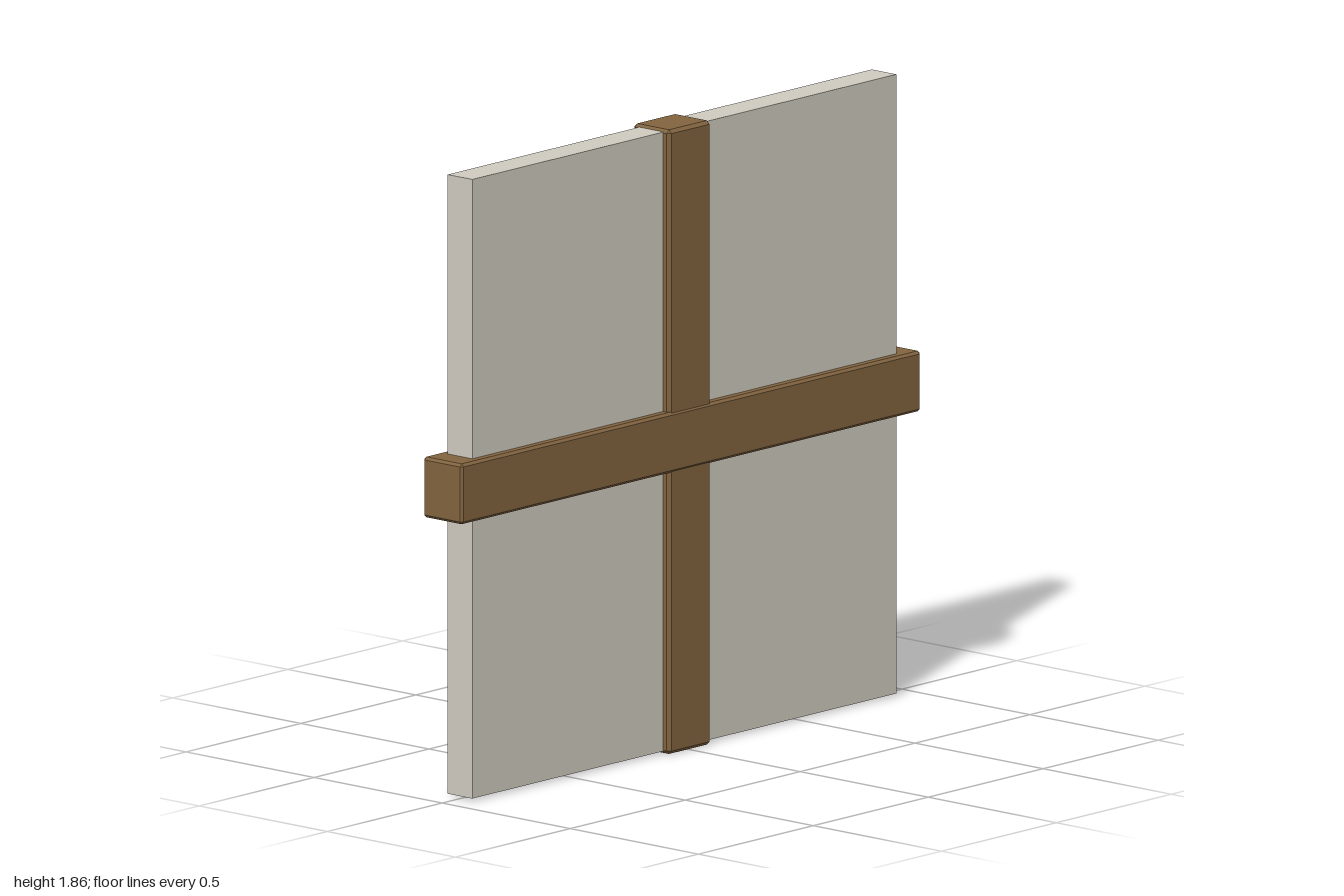
import * as THREE from 'three';
import { ConvexGeometry } from 'three/addons/geometries/ConvexGeometry.js';

const MID = 0.93; // height of the centre

// Box with every edge cut by a small flat chamfer
function chamferBox(w, h, d, c) {
  const half = [w / 2, h / 2, d / 2];
  const points = [];
  for (const sx of [-1, 1]) for (const sy of [-1, 1]) for (const sz of [-1, 1]) {
    for (let face = 0; face < 3; face++) {
      const p = half.map((v, axis) => (axis === face ? v : v - c));
      points.push(new THREE.Vector3(sx * p[0], sy * p[1], sz * p[2]));
    }
  }
  return new ConvexGeometry(points);
}

export function createModel() {
  const group = new THREE.Group();
  group.name = 'crossBarWindow';
  const wood = new THREE.MeshStandardMaterial({ color: 0x82643f, flatShading: true });
  const pale = new THREE.MeshStandardMaterial({ color: 0xcfcbc0, flatShading: true });

  const add = (name, geometry, material) => {
    const mesh = new THREE.Mesh(geometry, material);
    mesh.name = name;
    mesh.position.y = MID;
    group.add(mesh);
  };

  // Square pane with the two bars crossing through it
  add('pane', new THREE.BoxGeometry(1.845, 1.845, 0.096), pale);
  add('verticalBar', chamferBox(0.184, 1.86, 0.144, 0.01), wood);
  add('horizontalBar', chamferBox(2, 0.18, 0.154, 0.008), wood);
  return group;
}
